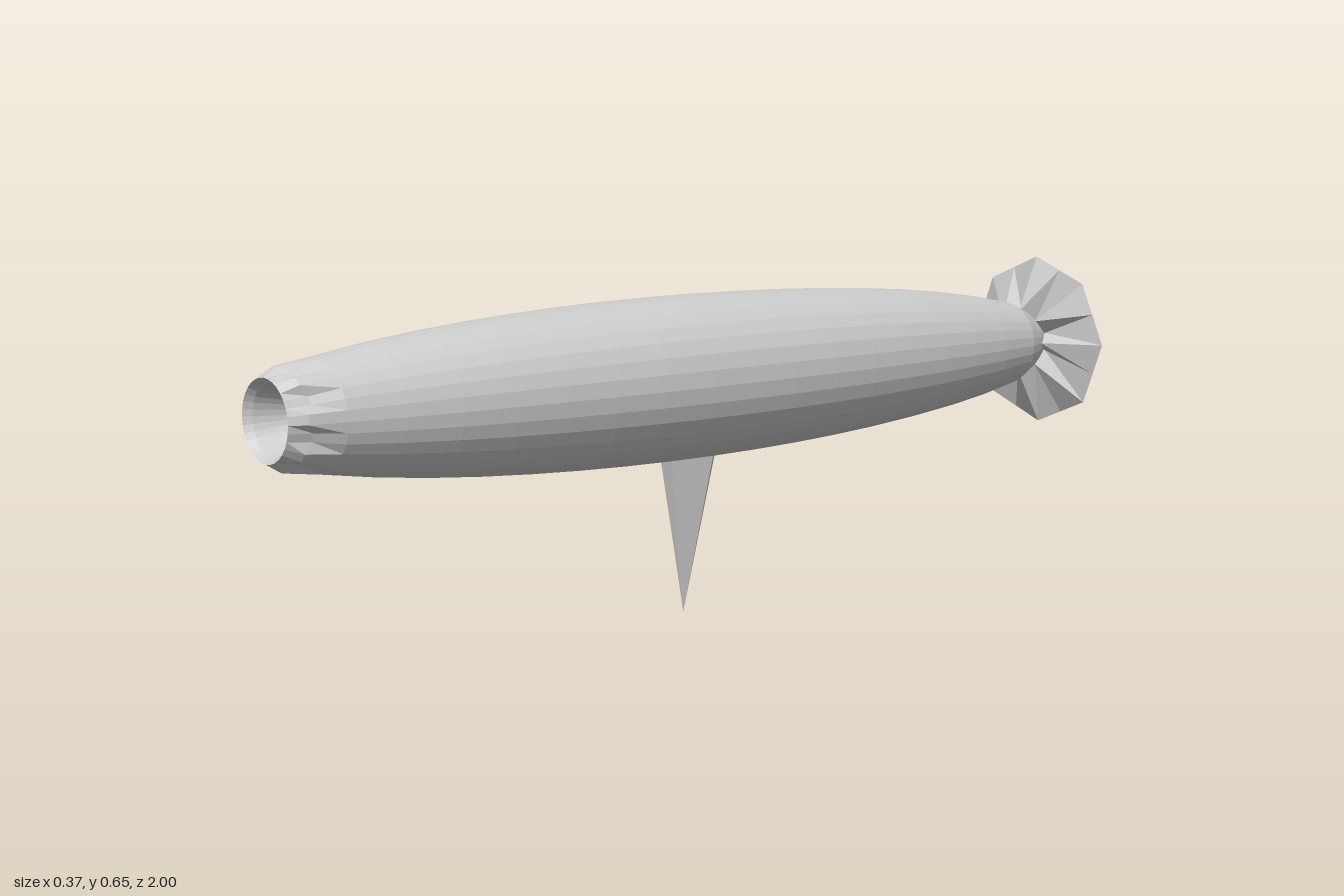
import * as THREE from 'three';

const AXIS_Y = 0.466;
const material = new THREE.MeshStandardMaterial({ color: 0xcccccc, flatShading: true });

// Skins a series of closed rings; every ring holds the same number of points.
function loft(name, rings) {
  const n = rings[0].length;
  const index = [];
  for (let j = 0; j < rings.length - 1; j++) {
    for (let i = 0; i < n; i++) {
      const a = j * n + i, b = j * n + (i + 1) % n;
      index.push(a, a + n, b, b, a + n, b + n);
    }
  }
  const geometry = new THREE.BufferGeometry();
  geometry.setAttribute('position', new THREE.Float32BufferAttribute(rings.flat(2), 3));
  geometry.setIndex(index);
  geometry.computeVertexNormals();
  const mesh = new THREE.Mesh(geometry, material);
  mesh.name = name;
  return mesh;
}

// Ring around the long axis; radius and z may vary with the point index and angle.
function ring(n, radius, z) {
  const value = (v, i, a) => (typeof v === 'function' ? v(i, a) : v);
  return Array.from({ length: n }, (_, i) => {
    const a = (i / n) * Math.PI * 2;
    const r = value(radius, i, a);
    return [r * Math.cos(a), AXIS_Y + r * Math.sin(a), value(z, i, a)];
  });
}

const hullRadius = (z) => 0.16 * Math.sqrt(1 - ((z - 0.05) / 1.1) ** 2);

function createHull() {
  const n = 32;
  const tooth = (i) => i % 4 < 2;
  const rings = [
    // recessed nose opening
    ring(n, 0, 0.9),
    ring(n, 0.036, 0.9),
    ring(n, 0.064, 0.985),
    // notched rim
    ring(n, 0.074, 1),
    ring(n, (i) => (tooth(i) ? 0.092 : 0.082), (i) => (tooth(i) ? 0.97 : 0.955)),
    ring(n, hullRadius(0.9), 0.9),
  ];
  // long tapered body
  for (let k = 1; k <= 16; k++) {
    const z = 0.9 - k * 0.11;
    rings.push(ring(n, hullRadius(z), z));
  }
  // closed tail end
  rings.push(ring(n, 0.068, -0.91), ring(n, 0.05, -0.94), ring(n, 0, -0.95));
  return loft('hull', rings);
}

// Eight-sided tail disc with a folded front and a shallow conical back
function createTail() {
  const n = 16;
  const corner = (i) => i % 2 === 0;
  const rimRadius = (i) => (corner(i) ? 0.184 : 0.184 * Math.cos(Math.PI / 8));
  const rimZ = (i, a) => -0.973 + 0.008 * Math.sin(a);
  return loft('tailDisc', [
    ring(n, 0, -0.92),
    ring(n, (i) => (corner(i) ? 0.066 : 0.05), (i) => (corner(i) ? -0.91 : -0.945)),
    ring(n, rimRadius, rimZ),
    ring(n, 0, -1),
  ]);
}

// Pointed fin below the hull
function createFin() {
  const outline = [[0.031, 0.015], [0.017, 0.116], [-0.017, 0.116], [-0.031, 0.015], [0, -0.018]];
  return loft('keelFin', [
    outline.map(() => [0, 0, 0.07]),
    outline.map(([x, z]) => [x, 0.325, z]),
  ]);
}

export function createModel() {
  const group = new THREE.Group();
  group.name = 'airship';
  group.add(createHull(), createTail(), createFin());
  return group;
}
